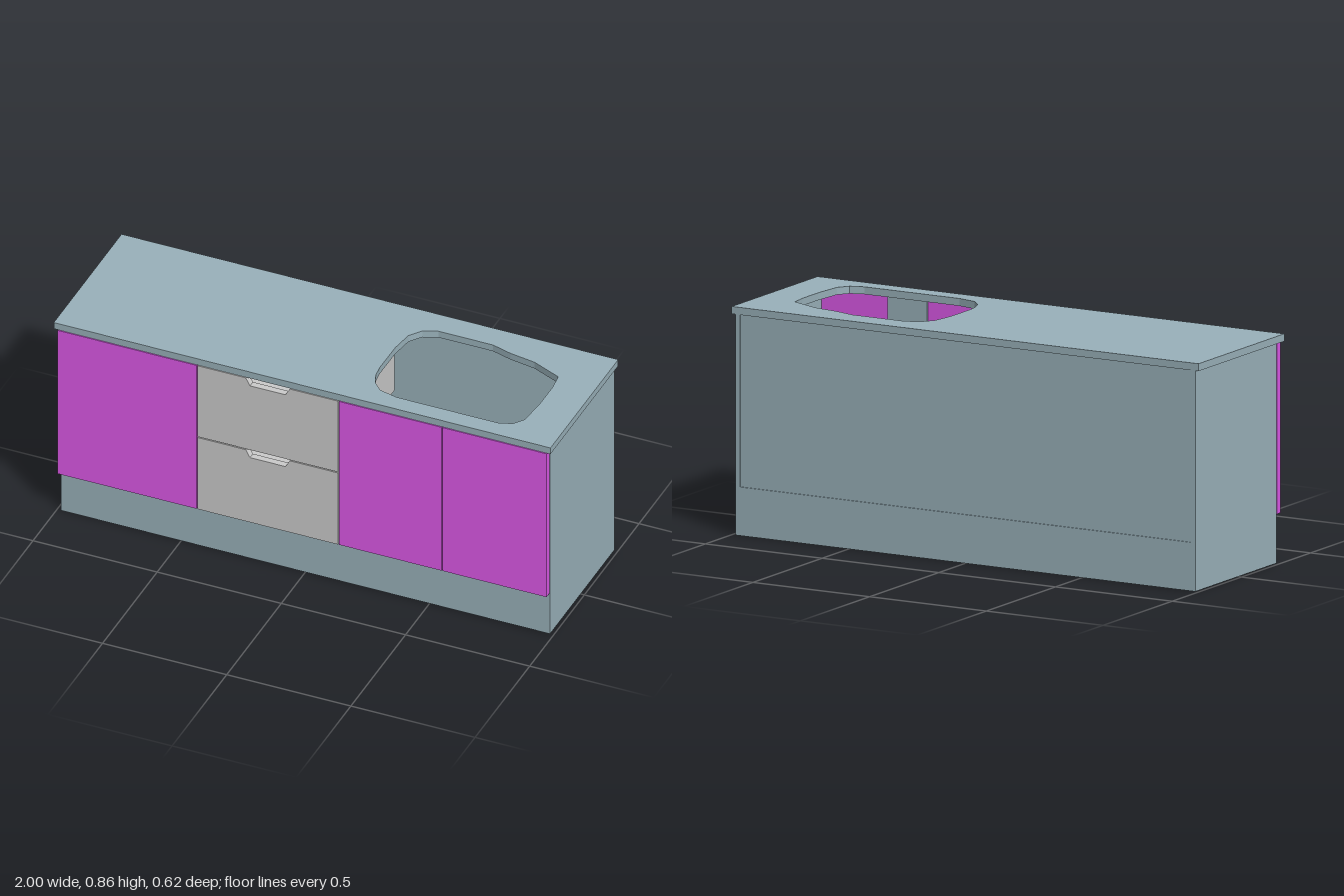
import * as THREE from 'three';

const carcassMat = new THREE.MeshStandardMaterial({ color: 0x9ab2bb });
const doorMat = new THREE.MeshStandardMaterial({ color: 0xdd59e9 });
const drawerMat = new THREE.MeshStandardMaterial({ color: 0xcccccc });

// Box given by its extents on each axis
function box(name, mat, [x0, x1], [y0, y1], [z0, z1]) {
  const mesh = new THREE.Mesh(new THREE.BoxGeometry(x1 - x0, y1 - y0, z1 - z0), mat);
  mesh.position.set((x0 + x1) / 2, (y0 + y1) / 2, (z0 + z1) / 2);
  mesh.name = name;
  return mesh;
}

const polygon = (points) => points.map(([x, y]) => new THREE.Vector2(x, y));

// Worktop with the sink cut-out, outlined in x and z
function createWorktop() {
  const shape = new THREE.Shape(polygon([[-1, -0.31], [1, -0.31], [1, 0.31], [-1, 0.31]]));
  const cutout = [
    [0.216, 0.09], [0.222, 0.14], [0.24, 0.185], [0.275, 0.222], [0.35, 0.24],
    [0.757, 0.24], [0.81, 0.222], [0.84, 0.18], [0.85, 0.06], [0.85, -0.05],
    [0.842, -0.12], [0.725, -0.17], [0.62, -0.187], [0.54, -0.21],
    [0.32, -0.21], [0.265, -0.187], [0.23, -0.14], [0.217, -0.05],
  ].map(([x, z]) => [x, -z]);
  shape.holes.push(new THREE.Path(polygon(cutout)));
  const geometry = new THREE.ExtrudeGeometry(shape, { depth: 0.028, bevelEnabled: false });
  geometry.rotateX(-Math.PI / 2);
  const mesh = new THREE.Mesh(geometry, carcassMat);
  mesh.position.y = 0.832;
  mesh.name = 'worktop';
  return mesh;
}

// Drawer: notched front panel and an open box behind it
function createDrawer(bottom, top) {
  const drawer = new THREE.Group();
  drawer.name = 'drawer';
  const [left, right] = [-0.421, 0.145];
  const shape = new THREE.Shape(polygon([
    [left, bottom], [right, bottom], [right, top], [-0.05, top],
    [-0.067, top - 0.031], [-0.21, top - 0.031], [-0.227, top], [left, top],
  ]));
  const front = new THREE.Mesh(
    new THREE.ExtrudeGeometry(shape, { depth: 0.027, bevelEnabled: false }), drawerMat);
  front.position.z = 0.283;
  front.name = 'drawerFront';
  drawer.add(front);

  const rim = top - 0.033, base = bottom + 0.02, t = 0.015;
  const zRange = [-0.23, 0.282];
  drawer.add(
    box('drawerSideRight', drawerMat, [left + 0.01, left + 0.01 + t], [base, rim], zRange),
    box('drawerSideLeft', drawerMat, [right - 0.01 - t, right - 0.01], [base, rim], zRange),
    box('drawerBack', drawerMat, [left + 0.025, right - 0.025], [base, rim], [-0.23, -0.215]),
    box('drawerBase', drawerMat, [left + 0.025, right - 0.025], [base, base + 0.01], [-0.215, 0.282]),
  );
  return drawer;
}

export function createModel() {
  const model = new THREE.Group();
  model.name = 'kitchenSinkCabinet';

  // Carcass
  model.add(
    createWorktop(),
    box('plinth', carcassMat, [-0.985, 0.985], [0, 0.183], [-0.308, 0.28]),
    box('backPanel', carcassMat, [-0.965, 0.965], [0.183, 0.832], [-0.304, -0.288]),
    box('doorStile', carcassMat, [0.51, 0.68], [0.184, 0.831], [0.276, 0.282]),
  );
  for (const side of [-1, 1]) {
    const xs = [side * 0.985, side * 0.965].sort((a, b) => a - b);
    model.add(box('sidePanel', carcassMat, xs, [0.183, 0.832], [-0.308, 0.28]));
  }

  // Doors
  for (const xs of [[-0.984, -0.425], [0.149, 0.562], [0.566, 0.984]]) {
    model.add(box('door', doorMat, xs, [0.184, 0.829], [0.283, 0.31]));
  }

  // Drawers
  model.add(createDrawer(0.184, 0.506), createDrawer(0.51, 0.829));
  return model;
}
